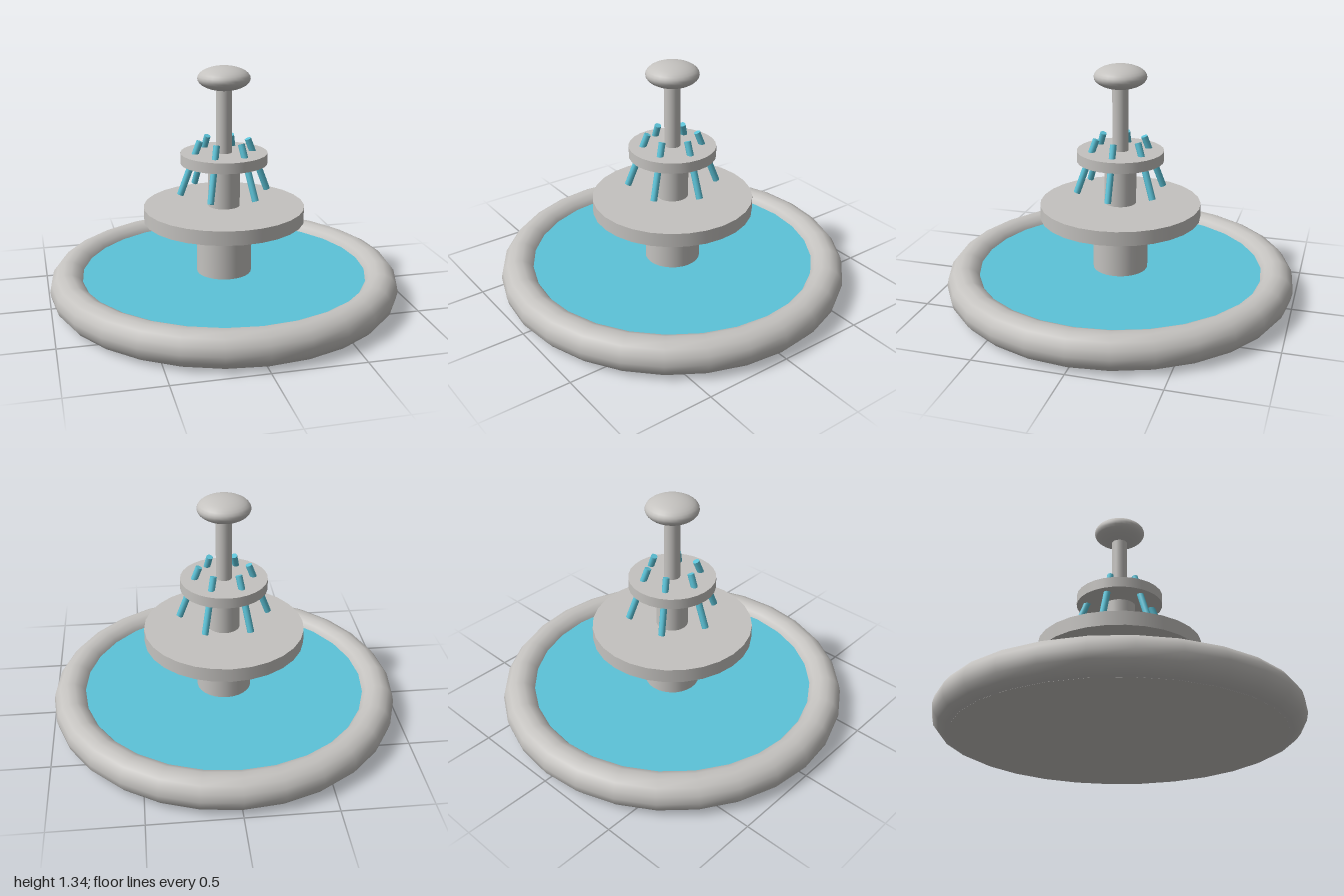
import * as THREE from 'three';

const SIDES = 28;

export function createModel() {
  const stone = new THREE.MeshStandardMaterial({ color: 0xc4c2bf });
  stone.name = 'stone';
  const water = new THREE.MeshStandardMaterial({ color: 0x5cc3d8 });
  water.name = 'water';

  const fountain = new THREE.Group();
  fountain.name = 'fountain';

  function add(name, geometry, material, y = 0) {
    const mesh = new THREE.Mesh(geometry, material);
    mesh.name = name;
    mesh.position.y = y;
    fountain.add(mesh);
    return mesh;
  }

  // Upright cylinder between two heights
  function drum(name, radius, bottom, top, material = stone) {
    const geometry = new THREE.CylinderGeometry(radius, radius, top - bottom, SIDES);
    return add(name, geometry, material, (bottom + top) / 2);
  }

  // Basin with rounded rim and pool
  drum('basinFloor', 0.9, 0.002, 0.1);
  const rim = new THREE.TorusGeometry(0.9, 0.1, 14, SIDES).rotateX(Math.PI / 2);
  add('basinRim', rim, stone, 0.1);
  drum('pool', 0.85, 0.1, 0.15, water);

  // Stacked pedestal and dishes
  drum('lowerColumn', 0.157, 0.12, 0.47);
  drum('lowerDish', 0.457, 0.465, 0.545);
  drum('upperColumn', 0.09, 0.54, 0.8);
  drum('upperDish', 0.245, 0.795, 0.855);
  drum('topPole', 0.045, 0.85, 1.23);

  // Flattened finial
  const finial = new THREE.SphereGeometry(0.147, 28, 16).scale(1, 0.46, 1);
  add('finial', finial, stone, 1.273);

  // Six slanted jets spilling through the upper dish
  const top = new THREE.Vector3(0.138, 0.925, 0);
  const bottom = new THREE.Vector3(0.252, 0.623, 0);
  const slope = top.clone().sub(bottom);
  const jetGeometry = new THREE.CylinderGeometry(0.019, 0.019, slope.length(), 10);
  jetGeometry.rotateZ(Math.atan2(-slope.x, slope.y));
  jetGeometry.translate((top.x + bottom.x) / 2, (top.y + bottom.y) / 2, 0);
  for (let i = 0; i < 6; i++) {
    add('waterJet' + (i + 1), jetGeometry, water).rotation.y = (i * Math.PI) / 3;
  }

  return fountain;
}
